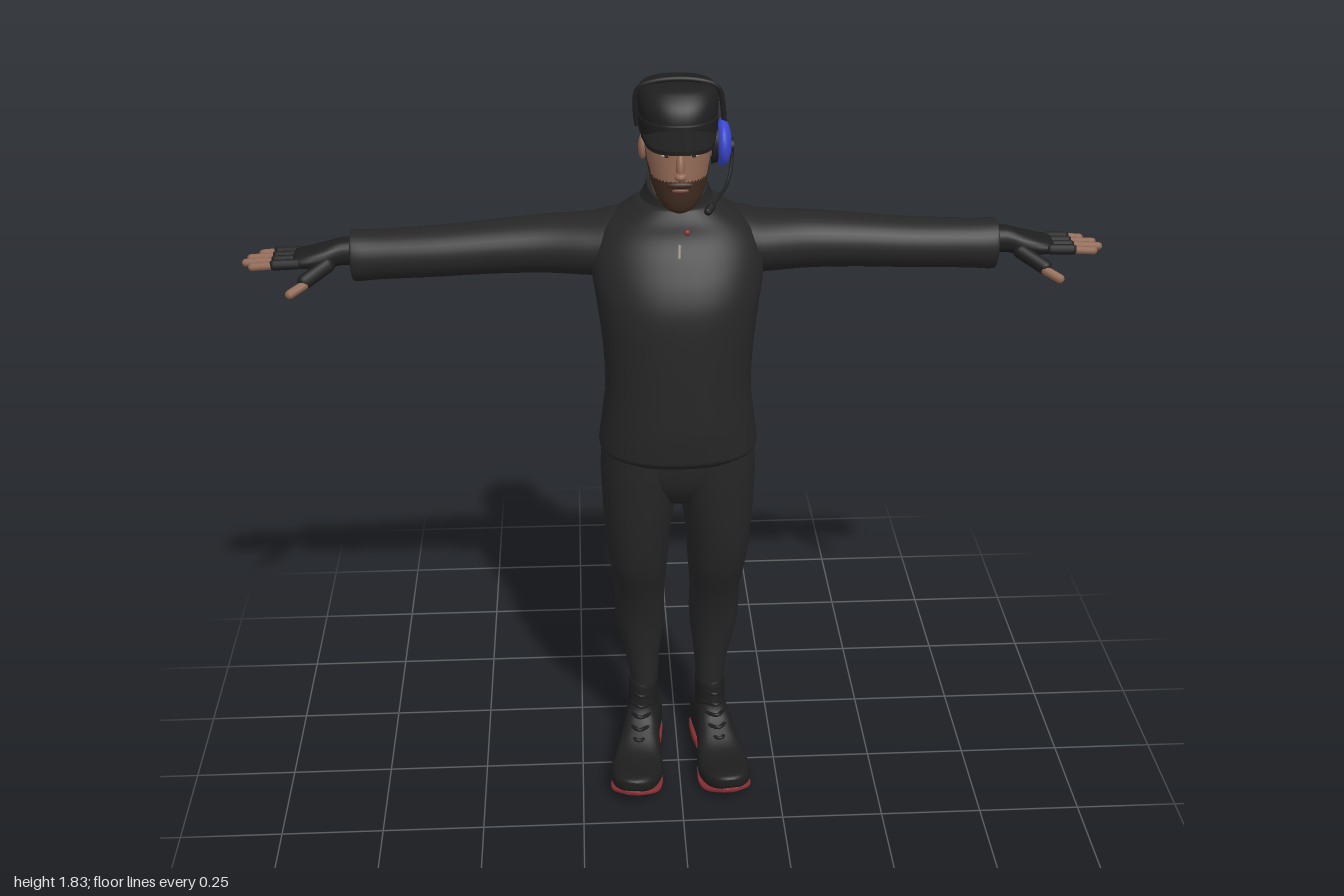
import * as THREE from 'three';

const mat = (name, color) => Object.assign(new THREE.MeshStandardMaterial({ color }), { name });
const M = {
  cloth: mat('black cloth', 0x262626), gear: mat('dark gear', 0x1e1e1e),
  skin: mat('skin', 0x8f6753), hair: mat('dark brown hair', 0x3d2a1f),
  blue: mat('headset blue', 0x3a48d0), red: mat('sole red', 0x8a3034),
  metal: mat('zip metal', 0x8a8580), lips: mat('lips', 0x7a4a40),
  eye: mat('eye white', 0xb5aaa0),
};
const V = (x, y, z) => new THREE.Vector3(x, y, z);

function add(parent, name, geo, material) {
  const m = new THREE.Mesh(geo, material);
  m.name = name;
  parent.add(m);
  return m;
}

// Smooth closed loft. Section: [t, c1, c2, r1, r2] along the given axis.
function loft(axis, secs, { power = 1, seg = 32, sub = 4, tweak, pick } = {}) {
  const at = i => secs[Math.max(0, Math.min(secs.length - 1, i))];
  const rows = (secs.length - 1) * sub, pos = [], groups = [];
  const put = (t, u, v) => {
    const p = axis === 'y' ? V(u, t, v) : axis === 'x' ? V(t, u, v) : V(u, v, t);
    if (tweak) tweak(p);
    pos.push(p.x, p.y, p.z);
  };
  for (let r = 0; r <= rows; r++) {
    const i = Math.min(Math.floor(r / sub), secs.length - 2), f = r / sub - i;
    const s = at(i).map((b, k) => {
      const a = at(i - 1)[k], c = at(i + 1)[k], d = at(i + 2)[k];
      return b + 0.5 * f * (c - a + f * (2 * a - 5 * b + 4 * c - d + f * (3 * (b - c) + d - a)));
    });
    for (let j = 0; j < seg; j++) {
      const a = j / seg * Math.PI * 2, c = Math.cos(a), n = Math.sin(a);
      put(s[0], s[1] + s[3] * Math.sign(c) * Math.abs(c) ** power, s[2] + s[4] * Math.sign(n) * Math.abs(n) ** power);
    }
  }
  for (const e of [secs[0], secs[secs.length - 1]]) put(e[0], e[1], e[2]);
  const P = i => V(pos[3 * i], pos[3 * i + 1], pos[3 * i + 2]);
  let volume = 0;
  const tri = (a, b, c) => {
    const A = P(a), B = P(b), C = P(c);
    volume += A.dot(B.clone().cross(C));
    const g = pick ? pick(A.add(B).add(C).divideScalar(3)) : 0;
    (groups[g] ??= []).push([a, b, c]);
  };
  const base = (rows + 1) * seg;
  for (let j = 0; j < seg; j++) {
    const k = (j + 1) % seg;
    for (let r = 0; r < rows; r++) {
      const a = r * seg + j, b = r * seg + k;
      tri(a, b, a + seg);
      tri(b, b + seg, a + seg);
    }
    tri(base, k, j);
    tri(base + 1, rows * seg + j, rows * seg + k);
  }
  const geo = new THREE.BufferGeometry(), index = [];
  groups.forEach((list, g) => {
    geo.addGroup(index.length, list.length * 3, g);
    for (const t of list) index.push(...(volume < 0 ? [t[0], t[2], t[1]] : t));
  });
  geo.setAttribute('position', new THREE.Float32BufferAttribute(pos, 3));
  geo.setIndex(index);
  geo.computeVertexNormals();
  return geo;
}
// Body rows [y, halfWidth, zFront, zBack] to loft sections
const body = rows => rows.map(([y, w, f, b]) => [y, 0, (f + b) / 2, w, (f - b) / 2]);

// Round-ended rod between two points
function rod(parent, name, a, b, r, material) {
  const d = b.clone().sub(a);
  const m = add(parent, name, new THREE.CapsuleGeometry(r, Math.max(d.length() - 2 * r, 0.001), 5, 10), material);
  m.position.copy(a).add(b).multiplyScalar(0.5);
  m.quaternion.setFromUnitVectors(V(0, 1, 0), d.normalize());
  return m;
}
function blob(parent, name, p, s, material) {
  const m = add(parent, name, new THREE.SphereGeometry(1, 20, 14), material);
  m.position.set(...p);
  m.scale.set(...s);
  return m;
}
const tube = (pts, r, n = 24) => new THREE.TubeGeometry(new THREE.CatmullRomCurve3(pts.map(p => V(...p))), n, r, 8);

function buildTorso(g) {
  add(g, 'pullover', loft('y', body([
    [0.925, 0.178, 0.11, -0.17], [0.94, 0.189, 0.125, -0.182], [0.96, 0.188, 0.128, -0.18], [1.02, 0.18, 0.132, -0.174],
    [1.1, 0.172, 0.13, -0.166], [1.2, 0.176, 0.126, -0.17], [1.3, 0.188, 0.118, -0.18], [1.36, 0.197, 0.1, -0.188],
    [1.42, 0.198, 0.07, -0.19], [1.47, 0.178, 0.042, -0.186], [1.505, 0.135, 0.03, -0.178], [1.535, 0.09, 0.015, -0.16],
  ]), { power: 0.85, seg: 40 }), M.cloth);
  // Stand-up collar, higher at the back
  add(g, 'collar', loft('y', body([
    [1.48, 0.11, 0.035, -0.168], [1.53, 0.083, 0.018, -0.15], [1.56, 0.073, 0.01, -0.135], [1.58, 0.069, 0.006, -0.124], [1.572, 0.06, -0.004, -0.115],
  ]), { tweak: p => { p.y -= 0.5 * (p.z + 0.06); } }), M.cloth);
  rod(g, 'zipPull', V(0, 1.465, 0.05), V(-0.002, 1.435, 0.068), 0.004, M.metal);
  blob(g, 'chestBadge', [0.018, 1.487, 0.036], [0.007, 0.007, 0.005], M.red);
  add(g, 'hips', loft('y', body([
    [0.8, 0.06, 0.05, -0.12], [0.85, 0.14, 0.082, -0.15], [0.9, 0.175, 0.095, -0.16], [0.96, 0.175, 0.1, -0.16],
  ]), { power: 0.85 }), M.cloth);
}

function buildArm(g, s) {
  const arm = new THREE.Group();
  arm.name = s > 0 ? 'leftArm' : 'rightArm';
  g.add(arm);
  const X = rows => rows.map(([x, ...r]) => [s * x, ...r]);
  add(arm, 'sleeve', loft('x', X([
    [0.07, 1.43, -0.09, 0.075, 0.085], [0.14, 1.425, -0.093, 0.078, 0.092], [0.2, 1.417, -0.097, 0.072, 0.09],
    [0.3, 1.415, -0.105, 0.067, 0.078], [0.42, 1.41, -0.104, 0.062, 0.07], [0.55, 1.403, -0.1, 0.059, 0.064],
    [0.68, 1.398, -0.1, 0.058, 0.06], [0.738, 1.396, -0.1, 0.06, 0.059], [0.75, 1.398, -0.1, 0.056, 0.054], [0.745, 1.4, -0.1, 0.035, 0.04],
  ])), M.cloth);
  add(arm, 'glove', loft('x', X([
    [0.72, 1.405, -0.1, 0.032, 0.036], [0.77, 1.408, -0.098, 0.031, 0.034], [0.81, 1.4, -0.095, 0.028, 0.042],
    [0.85, 1.396, -0.094, 0.021, 0.048], [0.88, 1.394, -0.094, 0.015, 0.045],
  ]), { power: 0.85, seg: 24 }), M.gear);
  [0.968, 0.992, 1.0, 0.982].forEach((tip, i) => {
    const z = -0.133 + i * 0.026, zt = z + (i - 1.5) * 0.002;
    rod(arm, 'gloveFinger', V(s * 0.86, 1.395, z), V(s * 0.935, 1.394, zt), 0.0125, M.gear);
    rod(arm, 'fingertip', V(s * 0.915, 1.394, zt), V(s * tip, 1.39, zt), 0.0095, M.skin);
  });
  rod(arm, 'gloveThumb', V(s * 0.79, 1.395, -0.07), V(s * 0.865, 1.358, -0.013), 0.0175, M.gear);
  rod(arm, 'thumbTip', V(s * 0.845, 1.363, -0.018), V(s * 0.893, 1.341, 0.01), 0.011, M.skin);
}

function buildLeg(g, s) {
  const leg = new THREE.Group();
  leg.name = s > 0 ? 'leftLeg' : 'rightLeg';
  g.add(leg);
  // Trouser rows: y, outer x, inner x, front z, back z
  const rows = [[0.18, 0.118, 0.053, -0.045, -0.138], [0.22, 0.121, 0.05, -0.042, -0.142], [0.3, 0.136, 0.043, -0.036, -0.16],
    [0.4, 0.157, 0.032, -0.02, -0.173], [0.5, 0.158, 0.032, 0.01, -0.162], [0.6, 0.171, 0.025, 0.053, -0.152],
    [0.7, 0.18, 0.018, 0.077, -0.154], [0.8, 0.185, 0.003, 0.09, -0.158], [0.88, 0.187, -0.008, 0.097, -0.165], [0.96, 0.18, -0.008, 0.1, -0.165]];
  add(leg, 'trouserLeg', loft('y', rows.map(([y, o, i, f, b]) =>
    [y, s * (o + i) / 2, (f + b) / 2, (o - i) / 2, (f - b) / 2]), { power: 0.92 }), M.cloth);

  // Boot, turned slightly outward
  const boot = new THREE.Group();
  boot.name = 'boot';
  boot.position.set(s * 0.087, 0, -0.09);
  boot.rotation.y = s * 0.13;
  leg.add(boot);
  const spring = p => { if (p.z > 0.16) p.y += 0.032 * ((p.z - 0.16) / 0.12) ** 2; };
  add(boot, 'bootUpper', loft('z', [[-0.078, 0, 0.06, 0.022, 0.035], [-0.068, 0, 0.065, 0.038, 0.05], [-0.03, 0, 0.075, 0.046, 0.062],
    [0.05, 0, 0.082, 0.046, 0.07], [0.1, 0, 0.066, 0.052, 0.055], [0.15, 0, 0.05, 0.062, 0.04], [0.2, 0, 0.043, 0.066, 0.033],
    [0.25, 0, 0.038, 0.055, 0.028], [0.275, 0, 0.033, 0.035, 0.02], [0.284, 0, 0.032, 0.012, 0.01]],
  { power: 0.75, tweak: spring }), M.gear);
  add(boot, 'bootShaft', loft('y', body([[0.05, 0.042, 0.07, -0.072], [0.1, 0.041, 0.072, -0.066], [0.15, 0.038, 0.058, -0.056],
    [0.2, 0.038, 0.05, -0.053], [0.212, 0.034, 0.046, -0.05]])), M.gear);
  add(boot, 'bootSole', loft('z', [[-0.076, 0, 0.02, 0.025, 0.008], [-0.06, 0, 0.02, 0.042, 0.009], [0, 0, 0.021, 0.043, 0.009], [0.06, 0, 0.019, 0.041, 0.008],
    [0.14, 0, 0.011, 0.06, 0.008], [0.2, 0, 0.009, 0.066, 0.008], [0.25, 0, 0.009, 0.055, 0.008], [0.282, 0, 0.01, 0.018, 0.007]],
  { power: 0.6, tweak: spring }), M.red);
  add(boot, 'bootHeel', loft('z', [[-0.08, 0, 0.014, 0.022, 0.013], [-0.068, 0, 0.014, 0.042, 0.014],
    [0, 0, 0.014, 0.047, 0.014], [0.045, 0, 0.014, 0.043, 0.013]], { power: 0.45 }), M.red);
  for (let i = 0; i < 5; i++) {
    const y = 0.185 - i * 0.021, z = 0.05 + i * 0.017 + (i > 2 ? 0.008 : 0), w = 0.027;
    add(boot, 'lace', tube([[-w, y - 0.008, z - 0.022], [0, y, z + 0.012], [w, y - 0.008, z - 0.022]], 0.005, 10), M.gear);
  }
}

function buildHead(g) {
  const head = new THREE.Group();
  head.name = 'head';
  g.add(head);
  add(head, 'neck', loft('y', body([[1.48, 0.06, -0.005, -0.13], [1.55, 0.056, 0.008, -0.117], [1.6, 0.056, 0.02, -0.108], [1.66, 0.06, 0.03, -0.108]])), M.skin);
  // Skull with beard and hair as face groups: 0 skin, 1 hair
  const pick = ({ y, z }) => {
    if (z < -0.015) return y > 1.635 ? 1 : 0;
    return y < 1.622 + Math.max(0, 0.035 - z) * 1.6 ? 1 : 0;
  };
  add(head, 'faceAndHair', loft('y', body([
    [1.546, 0.015, 0.068, 0.035], [1.555, 0.033, 0.077, 0.01], [1.575, 0.05, 0.082, -0.03], [1.6, 0.061, 0.083, -0.075], [1.625, 0.067, 0.083, -0.1],
    [1.66, 0.073, 0.08, -0.112], [1.69, 0.076, 0.078, -0.117], [1.72, 0.077, 0.08, -0.118], [1.76, 0.075, 0.075, -0.115],
  ]), { seg: 48, sub: 6, power: 0.92, pick }), [M.skin, M.hair]);
  const nose = blob(head, 'nose', [0, 1.658, 0.081], [0.01, 0.03, 0.014], M.skin);
  nose.rotation.x = -0.28;
  blob(head, 'noseTip', [0, 1.638, 0.09], [0.014, 0.01, 0.014], M.skin);
  blob(head, 'moustache', [0, 1.616, 0.08], [0.03, 0.008, 0.009], M.hair);
  blob(head, 'mouth', [0, 1.603, 0.081], [0.019, 0.005, 0.005], M.lips);
  for (const s of [-1, 1]) {
    blob(head, 'eye', [s * 0.03, 1.681, 0.069], [0.012, 0.005, 0.006], M.eye);
    blob(head, 'pupil', [s * 0.03, 1.681, 0.0735], [0.005, 0.0048, 0.003], M.hair);
    blob(head, 'eyebrow', [s * 0.031, 1.697, 0.072], [0.019, 0.004, 0.006], M.hair);
    blob(head, 'ear', [s * 0.079, 1.672, -0.022], [0.01, 0.029, 0.017], M.skin);
  }

  // Peaked cap
  add(head, 'capCrown', loft('y', body([
    [1.712, 0.078, 0.078, -0.118], [1.716, 0.084, 0.084, -0.123], [1.75, 0.087, 0.086, -0.126], [1.78, 0.09, 0.077, -0.128],
    [1.803, 0.086, 0.057, -0.124], [1.816, 0.068, 0.035, -0.1], [1.82, 0.02, 0, -0.05],
  ]), { power: 0.88, seg: 40 }), M.gear);
  add(head, 'capBand', loft('y', body([[1.712, 0.084, 0.085, -0.124], [1.716, 0.087, 0.088, -0.127], [1.748, 0.0895, 0.089, -0.129], [1.752, 0.086, 0.085, -0.125]]), { power: 0.88, seg: 40 }), M.gear);
  const brim = new THREE.BoxGeometry(2, 0.009, 1, 20, 1, 8), p = brim.attributes.position;
  for (let i = 0; i < p.count; i++) {
    const u = p.getX(i), v = p.getZ(i) + 0.5, bow = Math.sqrt(Math.max(0, 1 - u * u));
    const z = 0.012 + 0.06 * bow + v * 0.094 * bow ** 0.8;
    p.setXYZ(i, u * 0.083, p.getY(i) + 1.745 - 0.3 * Math.max(0, z - 0.07) - 0.035 * u * u, z);
  }
  brim.computeVertexNormals();
  add(head, 'capBrim', brim, M.gear);

  // Headset: one cup on the left, band over the cap, microphone boom
  const headset = new THREE.Group();
  headset.name = 'headset';
  g.add(headset);
  add(headset, 'headband', tube([[0.103, 1.69, -0.025], [0.101, 1.75, -0.022], [0.088, 1.805, -0.018], [0.045, 1.823, -0.014],
    [-0.045, 1.823, -0.014], [-0.088, 1.805, -0.018], [-0.094, 1.76, -0.022], [-0.09, 1.72, -0.025]], 0.006, 48), M.gear);
  const disc = (name, x, r, h, m, y = 1.678, z = -0.025) => {
    const d = add(headset, name, new THREE.CylinderGeometry(r * 0.85, r, h, 32), m);
    d.rotation.z = -Math.PI / 2;
    d.position.set(x, y, z);
  };
  disc('earPad', 0.086, 0.048, 0.022, M.gear);
  blob(headset, 'earCup', [0.1, 1.678, -0.025], [0.02, 0.053, 0.057], M.blue);
  disc('cupCap', 0.119, 0.021, 0.012, M.gear, 1.668, -0.028);
  add(headset, 'micBoom', tube([[0.121, 1.666, -0.028], [0.118, 1.645, 0.01], [0.105, 1.612, 0.06], [0.08, 1.592, 0.105], [0.06, 1.578, 0.132]], 0.004), M.gear);
  rod(headset, 'microphone', V(0.07, 1.585, 0.12), V(0.053, 1.572, 0.145), 0.009, M.gear);
}

export function createModel() {
  const g = new THREE.Group();
  g.name = 'manWithHeadset';
  buildTorso(g);
  for (const s of [-1, 1]) {
    buildArm(g, s);
    buildLeg(g, s);
  }
  buildHead(g);
  return g;
}
